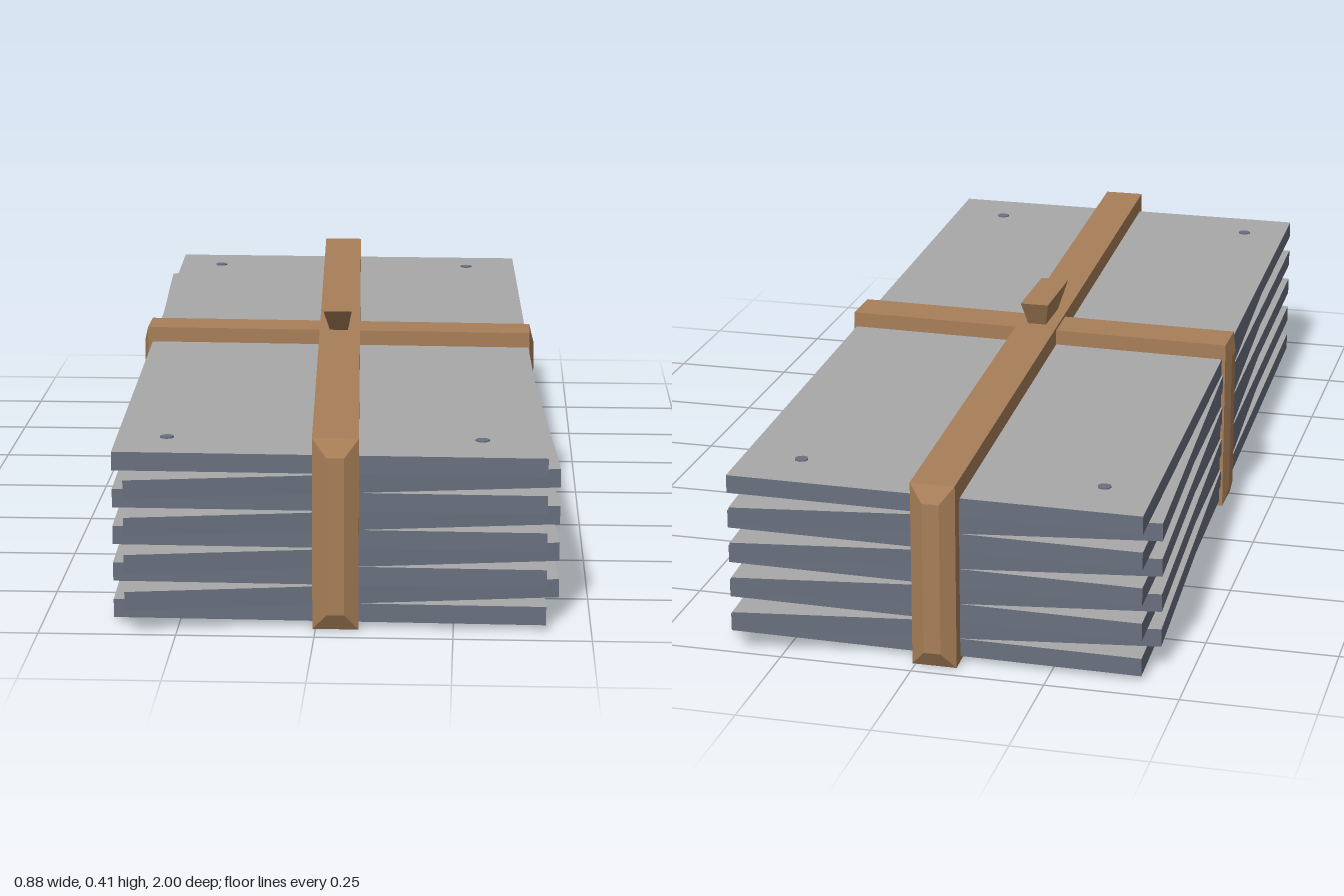
import * as THREE from 'three';

const mat = (name, color) => {
  const m = new THREE.MeshStandardMaterial({ color });
  m.name = name;
  return m;
};

// Box whose corners are placed by a rule taking the corner signs (-1 or 1)
function warpedBox(name, material, rule) {
  const geo = new THREE.BoxGeometry(2, 2, 2).toNonIndexed();
  const p = geo.attributes.position;
  for (let i = 0; i < p.count; i++) {
    p.setXYZ(i, ...rule(Math.sign(p.getX(i)), Math.sign(p.getY(i)), Math.sign(p.getZ(i))));
  }
  geo.computeVertexNormals();
  // non-indexed faces keep the six box groups, six vertices each
  geo.clearGroups();
  for (let f = 0; f < 6; f++) geo.addGroup(f * 6, 6, f);
  const mesh = new THREE.Mesh(geo, Array.isArray(material) ? material : Array(6).fill(material));
  mesh.name = name;
  return mesh;
}

export function createModel() {
  const group = new THREE.Group();
  group.name = 'strappedSheetStack';
  const grey = mat('sheet grey', 0xa8a8a8);
  const slate = mat('edge slate', 0x6a7080);
  const leather = mat('strap brown', 0xa87f58);
  const sheetMats = [slate, slate, grey, slate, slate, slate];

  // Skewed sheets, alternating between two slightly turned outlines
  const base = 0.01, step = 0.0347;
  const outlines = [
    { w: 0.394, wz: 0.006, l: 0.936, lx: 0.024 },
    { w: 0.392, wz: -0.058, l: 0.94, lx: 0.05 },
  ];
  for (let i = 0; i < 9; i++) {
    const o = outlines[i % 2];
    group.add(warpedBox('sheet' + (i + 1), sheetMats, (x, y, z) => [
      x * o.w + z * o.lx,
      base + step * (i + (y + 1) / 2),
      z * o.l + x * o.wz,
    ]));
  }
  const top = base + step * 9;

  // Small rivets near the corners of the top sheet
  for (const x of [-1, 1]) for (const z of [-1, 1]) {
    const rivet = new THREE.Mesh(new THREE.CylinderGeometry(0.013, 0.013, 0.003, 8), slate);
    rivet.name = 'rivet';
    rivet.position.set(-0.01 + x * 0.29 + z * 0.02, top + 0.001, z * 0.82);
    group.add(rivet);
  }

  // Strap loop: a band over and under, plus upright ends with bevelled faces.
  // "along" runs down the strap, "across" over its width, "drift" skews it.
  function strapLoop(name, place, s) {
    const loop = new THREE.Group();
    loop.name = name;
    const at = (along, across, y) => {
      const centre = s.mid + s.drift * along / s.reach;
      return place(along, centre + across, y);
    };
    const dir = place(1, 0, 0)[0] === 1;
    const band = (part, y0, y1) => loop.add(warpedBox(part, leather, (x, y, z) => {
      const a = dir ? x : z, c = dir ? z : x;
      return at(s.shift + a * s.reach, c * s.half, y > 0 ? y1 : y0);
    }));
    band('topBand', top - 0.004, s.high);
    band('bottomBand', s.low, base + 0.004);

    for (const side of [-1, 1]) {
      const upright = (part, inner, outer, insetC, insetY) =>
        loop.add(warpedBox(part, leather, (x, y, z) => {
          const a = dir ? x : z, c = dir ? z : x;
          const out = a === side;
          const yIn = out ? insetY : 0, cIn = out ? insetC : 0;
          return at(s.shift + side * (s.reach + (out ? outer : inner)),
            c * (s.half - cIn), y > 0 ? s.high - yIn : s.low + yIn);
        }));
      upright('upright', -0.03, 0, 0, 0);
      upright('bevelledFace', 0, s.bulge, s.insetC, 0.032);
    }
    group.add(loop);
  }
  strapLoop('longStrap', (a, c, y) => [c, y, a],
    { mid: 0, drift: 0.037, shift: -0.007, reach: 0.965, half: 0.042, bulge: 0.018, insetC: 0.026, high: 0.359, low: 0.002 });
  strapLoop('crossStrap', (a, c, y) => [a, y, c],
    { mid: -0.016, drift: 0.012, shift: -0.003, reach: 0.4, half: 0.046, bulge: 0.009, insetC: 0.026, high: 0.353, low: 0 });

  // Flared knot where the straps cross
  group.add(warpedBox('knot', leather, (x, y, z) => y > 0
    ? [x * 0.029, 0.409, 0.017 + z * 0.09]
    : [x * 0.017, 0.35, z * 0.045]));

  return group;
}
